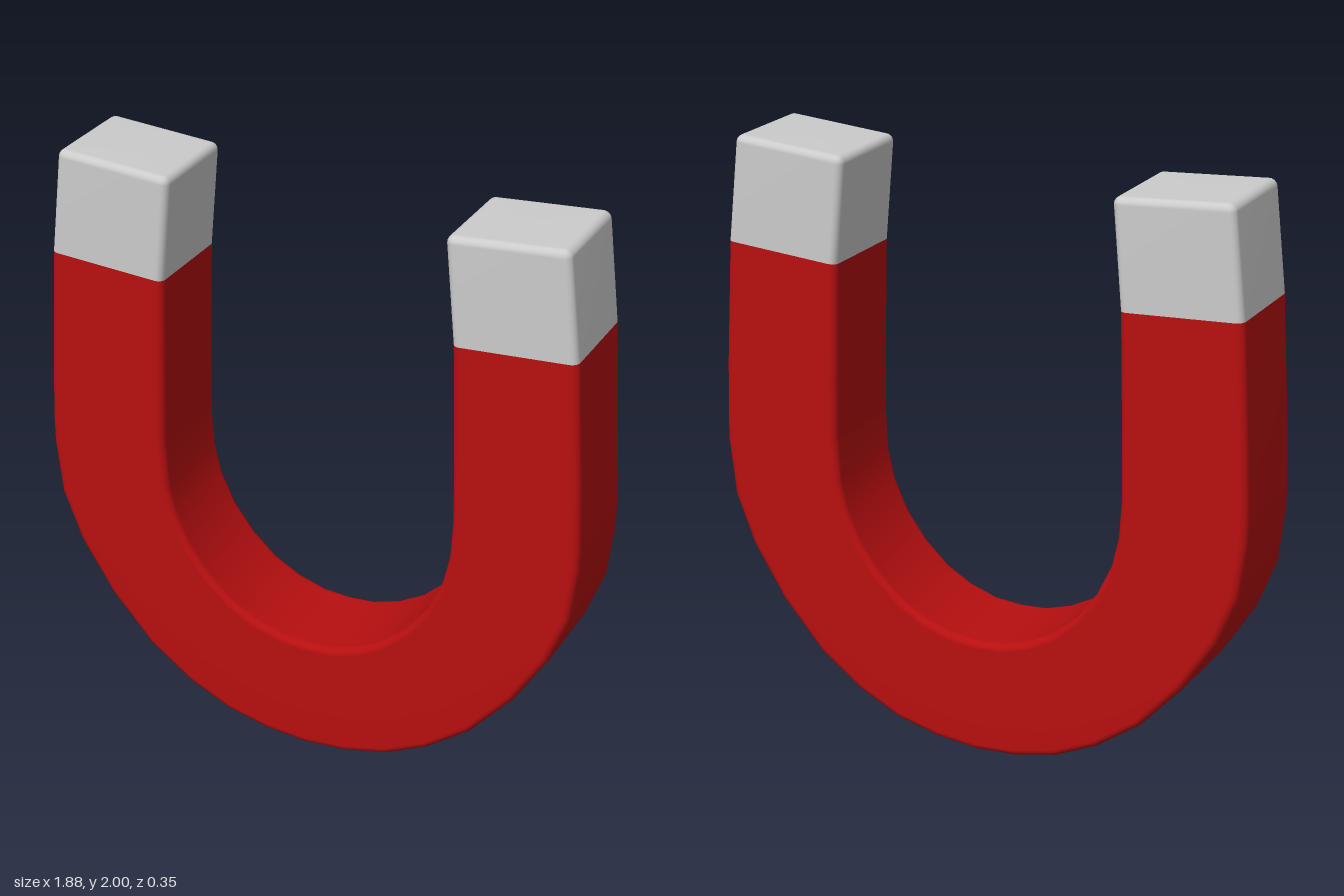
import * as THREE from 'three';

const HALF_DEPTH = 0.175;
const BEVEL = 0.025;
const CORNER_STEPS = 4;

// Rounded-rectangle ring between an inner and an outer edge point
function ring(inner, outer, inset = 0) {
  const centre = inner.clone().add(outer).multiplyScalar(0.5);
  const across = outer.clone().sub(inner);
  const halfWidth = across.length() / 2 - inset;
  const halfDepth = HALF_DEPTH - inset;
  const r = Math.max(BEVEL - inset, 0.003);
  across.normalize();
  const points = [];
  [[1, -1], [1, 1], [-1, 1], [-1, -1]].forEach(([sa, sz], c) => {
    for (let k = 0; k <= CORNER_STEPS; k++) {
      const t = (c - 1 + k / CORNER_STEPS) * Math.PI / 2;
      const a = sa * (halfWidth - r) + r * Math.cos(t);
      const z = sz * (halfDepth - r) + r * Math.sin(t);
      points.push(new THREE.Vector3(centre.x + across.x * a, centre.y + across.y * a, z));
    }
  });
  return points;
}

// Skin over successive rings, with an optional flat cap on the last one
function loft(rings, capEnd) {
  const n = rings[0].length;
  const points = rings.flat();
  const index = [];
  for (let i = 0; i < rings.length - 1; i++) {
    for (let j = 0; j < n; j++) {
      const k = (j + 1) % n;
      const a = i * n + j, b = a + n, c = i * n + k, d = c + n;
      index.push(a, b, c, b, d, c);
    }
  }
  if (capEnd) {
    const last = rings[rings.length - 1];
    const middle = last.reduce((s, p) => s.add(p), new THREE.Vector3()).divideScalar(n);
    const base = (rings.length - 1) * n;
    points.push(middle);
    for (let j = 0; j < n; j++) index.push(points.length - 1, base + (j + 1) % n, base + j);
  }
  const geometry = new THREE.BufferGeometry().setFromPoints(points);
  geometry.setIndex(index);
  geometry.computeVertexNormals();
  return geometry;
}

export function createModel() {
  const group = new THREE.Group();
  const red = new THREE.MeshStandardMaterial({ color: 0xb80f10 });
  const grey = new THREE.MeshStandardMaterial({ color: 0xcccccc });

  // Half of the horseshoe, from bottom centre to joint: inner x, y, outer x, y
  const half = [
    [0, 0.4, 0, 0], [0.095, 0.407, 0.145, 0.012], [0.19, 0.437, 0.295, 0.048],
    [0.28, 0.487, 0.445, 0.12], [0.365, 0.565, 0.595, 0.23], [0.435, 0.66, 0.74, 0.395],
    [0.485, 0.77, 0.855, 0.58], [0.507, 0.87, 0.92, 0.75], [0.515, 1.0, 0.941, 0.94],
    [0.515, 1.02, 0.941, 1.02], [0.511, 1.22, 0.932, 1.23], [0.5, 1.617, 0.906, 1.643],
  ];
  const mirrored = half.slice(1).reverse().map(([a, b, c, d]) => [-a, b, -c, d]);
  const rings = [...mirrored, ...half].map(([a, b, c, d]) =>
    ring(new THREE.Vector2(a, b), new THREE.Vector2(c, d)));
  const body = new THREE.Mesh(loft(rings, false), red);
  body.name = 'horseshoeBody';
  group.add(body);

  // Pole tips with rounded end edges; the second is turned half round
  const innerStart = new THREE.Vector2(0.5, 1.617), innerEnd = new THREE.Vector2(0.468, 1.973);
  const outerStart = new THREE.Vector2(0.906, 1.643), outerEnd = new THREE.Vector2(0.865, 2.002);
  const length = innerStart.distanceTo(innerEnd);
  const station = (drop, inset) => {
    const t = 1 - drop / length;
    return ring(innerStart.clone().lerp(innerEnd, t), outerStart.clone().lerp(outerEnd, t), inset);
  };
  const tipRings = [station(length, 0)];
  for (let k = 0; k <= 4; k++) {
    const a = k / 4 * Math.PI / 2;
    tipRings.push(station(BEVEL * (1 - Math.sin(a)), BEVEL * (1 - Math.cos(a))));
  }
  const tipGeometry = loft(tipRings, true);
  ['leftPoleTip', 'rightPoleTip'].forEach((name, i) => {
    const tip = new THREE.Mesh(tipGeometry, grey);
    tip.name = name;
    tip.rotation.y = i * Math.PI;
    group.add(tip);
  });
  return group;
}
